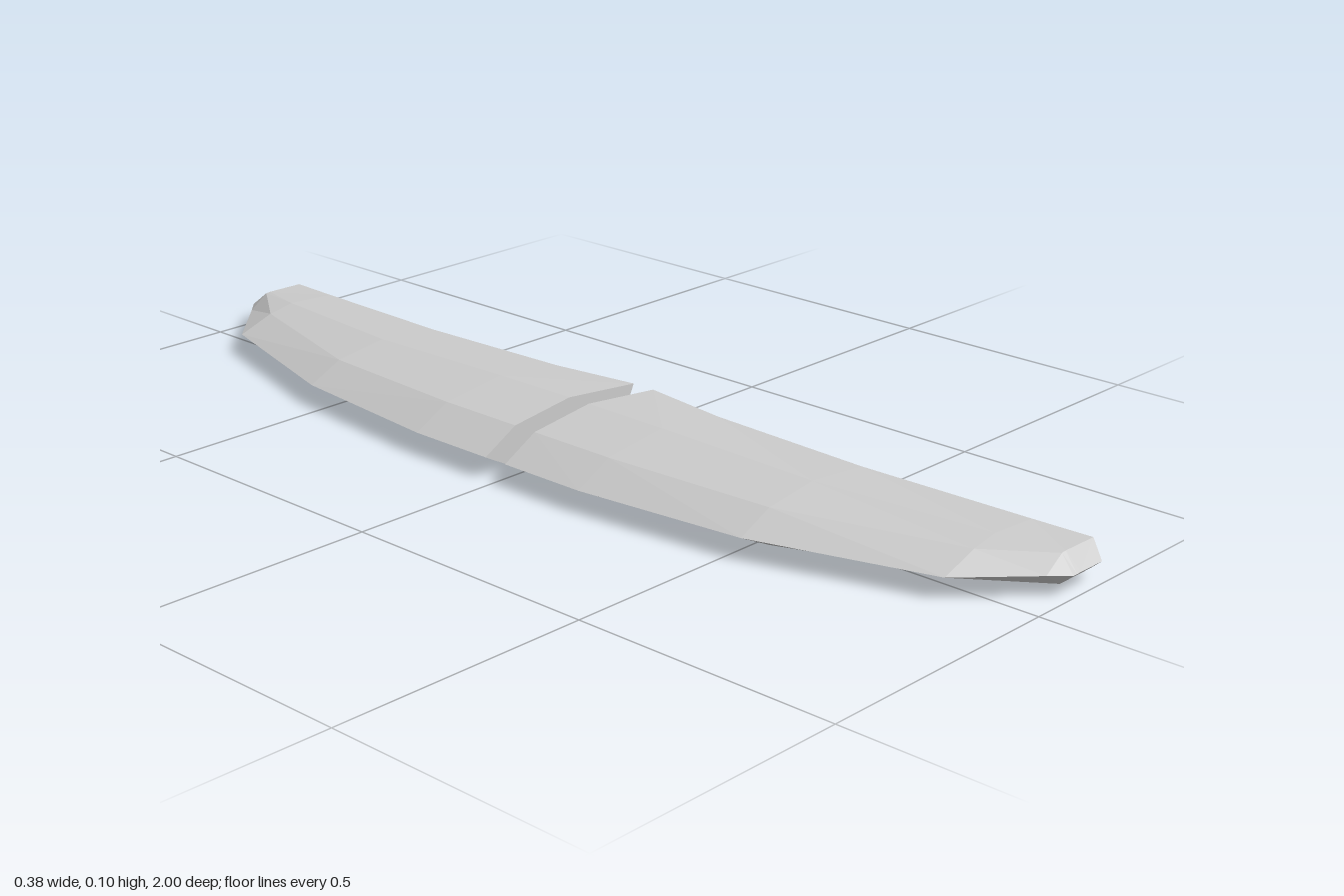
import * as THREE from 'three';

const material = new THREE.MeshStandardMaterial({ color: 0xcccccc, flatShading: true });
const EDGE_Y = 0.04; // height of the sharp outer edge and of the inner groove

// Stations from the central gap to the tip. Each holds the outer edge x, then [x, y] of
// the lower bevel, ridge, shoulder and lip, the groove x, and the upper lip, ridge and bevel.
const stations = [
  { z: 0.024, edge: -0.19, low: [[-0.117, 0.001], [0.02, 0.015], [0.1, 0.013], [0.19, 0]], groove: 0.17, top: [[0.19, 0.08], [0.02, 0.097], [-0.117, 0.08]] },
  { z: 0.2, edge: -0.19, low: [[-0.115, 0.002], [0.02, 0.016], [0.09, 0.014], [0.167, 0.002]], groove: 0.147, top: [[0.167, 0.079], [0.02, 0.096], [-0.115, 0.079]] },
  { z: 0.53, edge: -0.155, low: [[-0.085, 0.007], [0.025, 0.018], [0.085, 0.015], [0.158, 0.006]], groove: 0.138, top: [[0.158, 0.076], [0.025, 0.088], [-0.085, 0.073]] },
  { z: 0.86, edge: -0.055, low: [[0.02, 0.015], [0.07, 0.017], [0.11, 0.016], [0.178, 0.012]], groove: 0.158, top: [[0.178, 0.07], [0.075, 0.076], [0.02, 0.066]] },
  { z: 0.97, edge: 0.06, low: [[0.1, 0.014], [0.11, 0.014], [0.13, 0.014], [0.188, 0.014]], groove: 0.168, top: [[0.188, 0.067], [0.11, 0.068], [0.1, 0.067]] },
  // tip closes to a single sharp line
  { z: 1, edge: 0.09, low: [[0.1, EDGE_Y], [0.11, EDGE_Y], [0.13, EDGE_Y], [0.17, EDGE_Y]], groove: 0.17, top: [[0.17, EDGE_Y], [0.11, EDGE_Y], [0.1, EDGE_Y]] },
];

const outline = (s) => [[s.edge, EDGE_Y], ...s.low, [s.groove, EDGE_Y], ...s.top];

// One half, skinned over its sections; side is +1 for the front, -1 for the back
function halfBlade(side) {
  const rings = stations.map(outline);
  const n = rings[0].length;
  const positions = [];
  const index = [];
  const face = (a, b, c) => (side > 0 ? index.push(a, b, c) : index.push(a, c, b));

  rings.forEach((ring, i) => ring.forEach(([x, y]) => positions.push(x, y, side * stations[i].z)));
  for (let i = 0; i < rings.length - 1; i++) {
    for (let j = 0; j < n; j++) {
      const k = (j + 1) % n;
      const a = i * n + j, b = i * n + k, c = b + n, d = a + n;
      face(a, b, c);
      face(a, c, d);
    }
  }

  // flat cap at the central gap
  const contour = rings[0].map(([x, y]) => new THREE.Vector2(x, y));
  THREE.ShapeUtils.triangulateShape(contour, []).forEach(([a, b, c]) => face(a, c, b));

  const geometry = new THREE.BufferGeometry();
  geometry.setAttribute('position', new THREE.Float32BufferAttribute(positions, 3));
  geometry.setIndex(index);
  const flat = geometry.toNonIndexed();
  flat.computeVertexNormals();
  return flat;
}

export function createModel() {
  const model = new THREE.Group();
  model.name = 'splitCurvedBlade';
  for (const [name, side] of [['frontHalf', 1], ['backHalf', -1]]) {
    const mesh = new THREE.Mesh(halfBlade(side), material);
    mesh.name = name;
    model.add(mesh);
  }
  return model;
}
